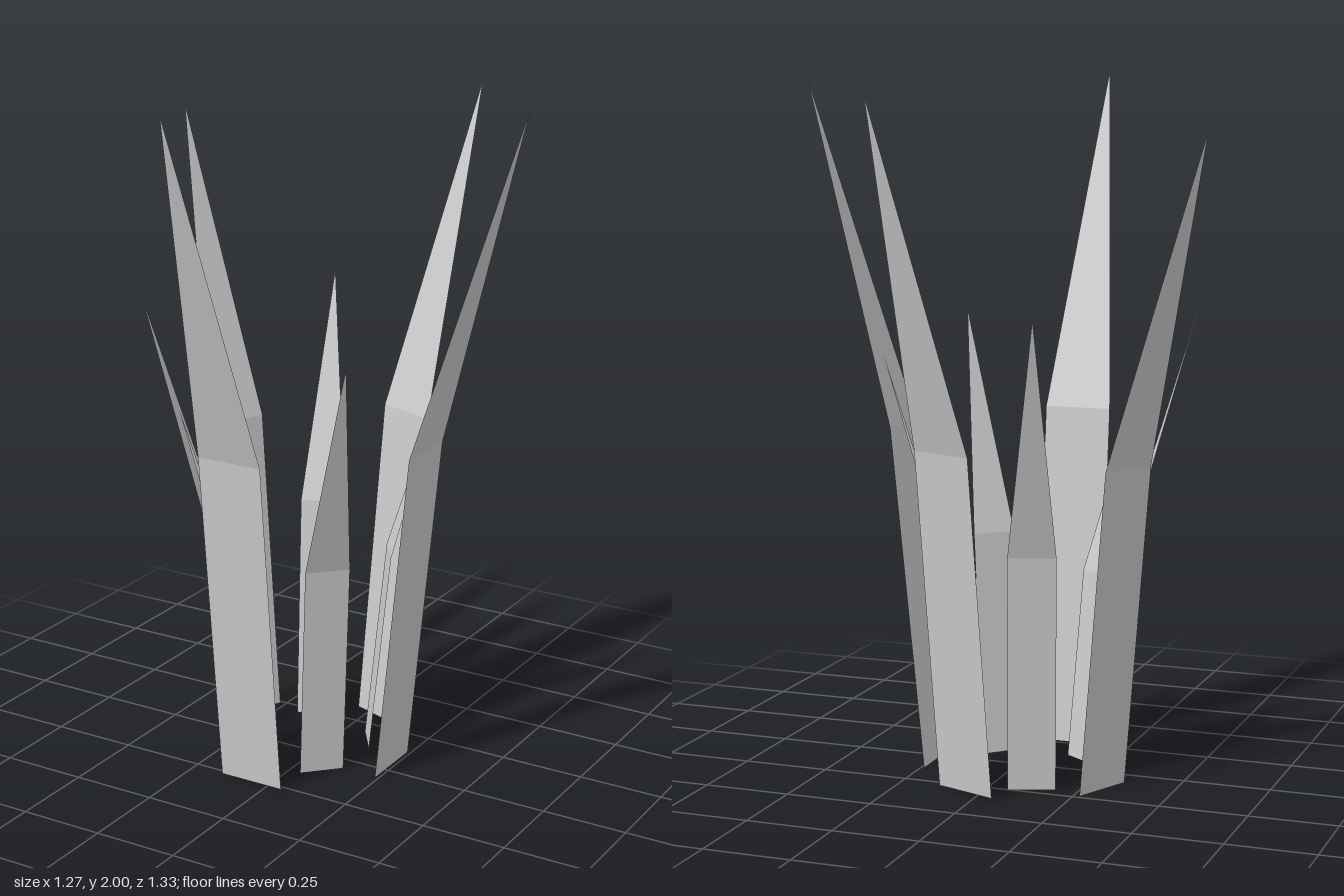
import * as THREE from 'three';

// Unit-height blade: a leaning rectangle, then a point bent further outward (+z)
function bladeGeometry() {
  const w = 0.05;
  const geo = new THREE.BufferGeometry();
  geo.setAttribute('position', new THREE.Float32BufferAttribute([
    -w, 0, 0,       w, 0, 0,
    -w, 0.5, 0.05,  w, 0.5, 0.05,
    0, 1, 0.198,
  ], 3));
  geo.setIndex([0, 1, 3, 0, 3, 2, 2, 3, 4]);
  const flat = geo.toNonIndexed();
  flat.computeVertexNormals();
  return flat;
}

export function createModel() {
  const group = new THREE.Group();
  group.name = 'grassTuft';
  const geometry = bladeGeometry();
  const material = new THREE.MeshStandardMaterial({
    color: 0xcccccc, flatShading: true, side: THREE.DoubleSide,
  });

  // Base x, base z, height, outward heading in degrees (0 = front)
  const blades = [
    [0.24, -0.037, 1.975, 90],
    [-0.055, 0.265, 2.0, 0],
    [0.044, -0.31, 1.925, 160],
    [-0.307, -0.157, 1.835, -115],
    [-0.124, -0.231, 1.345, -160],
    [-0.249, 0.034, 1.365, -70],
    [-0.152, 0.099, 1.1, -35],
    [0.084, 0.101, 1.295, 45],
    [0.096, -0.145, 1.215, 125],
  ];
  blades.forEach(([x, z, height, heading], i) => {
    const blade = new THREE.Mesh(geometry, material);
    blade.name = `blade${i + 1}`;
    blade.position.set(x, 0, z);
    blade.rotation.y = THREE.MathUtils.degToRad(heading);
    blade.scale.setScalar(height);
    group.add(blade);
  });
  return group;
}
